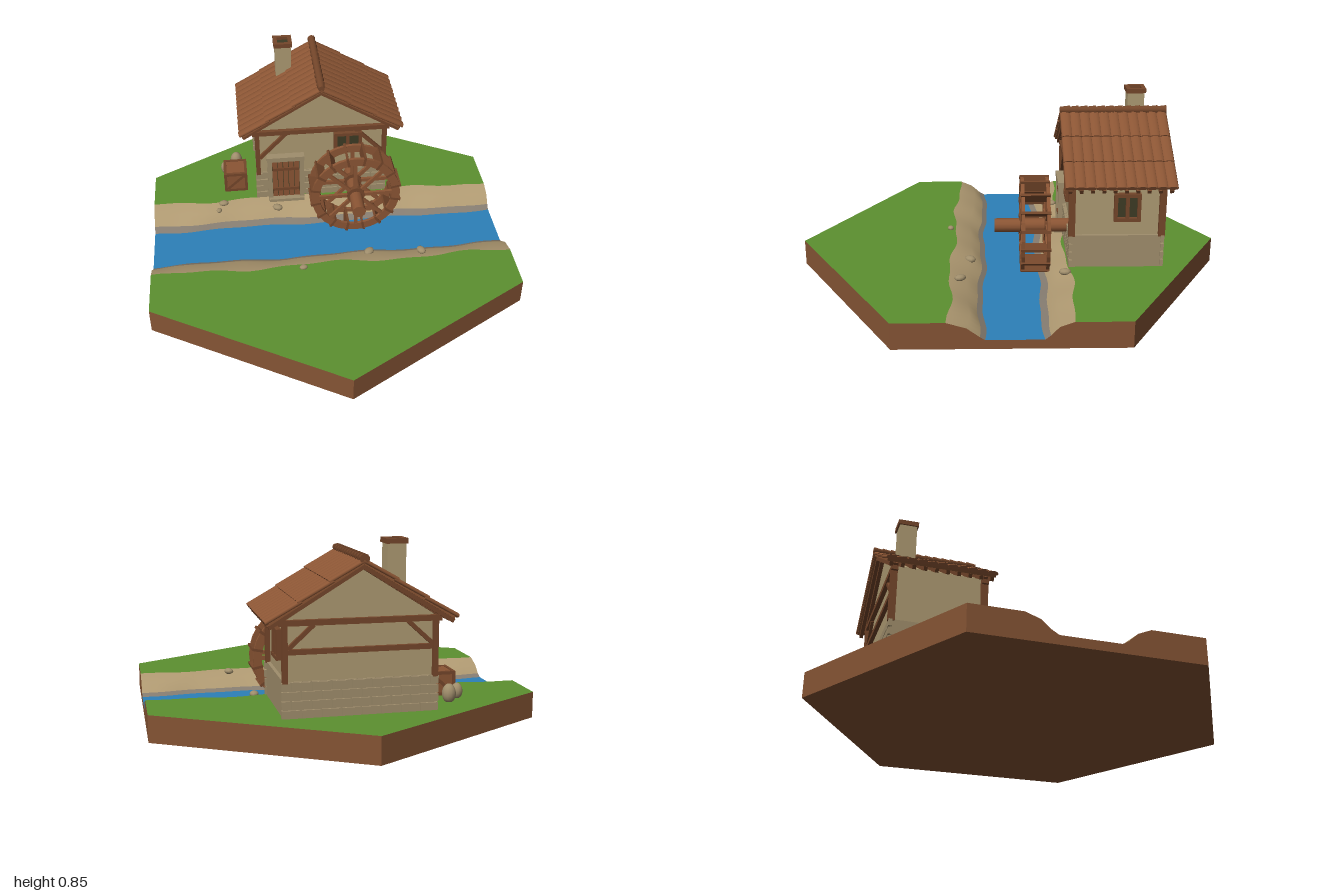
import * as THREE from 'three';

const mat = (name, color, side = THREE.FrontSide) => {
  const m = new THREE.MeshStandardMaterial({ color, side });
  m.name = name;
  return m;
};
const M = {
  grass: mat('grass green', 0x5c9030), water: mat('river blue', 0x2d80b8),
  sand: mat('sand', 0xb09a72), mud: mat('wet gravel', 0x857c70),
  dirt: mat('earth brown', 0x855434), roof: mat('roof tile brown', 0x8b5534),
  wood: mat('timber brown', 0x74462a), plaster: mat('plaster', 0xad9a72),
  stone: mat('stone', 0xa08e6c), dark: mat('dark glass', 0x3d3b24),
};

function add(parent, name, geo, material, x = 0, y = 0, z = 0) {
  const m = new THREE.Mesh(geo, material);
  m.name = name;
  m.position.set(x, y, z);
  parent.add(m);
  return m;
}
function group(parent, name, x = 0, y = 0, z = 0) {
  const g = new THREE.Group();
  g.name = name;
  g.position.set(x, y, z);
  parent.add(g);
  return g;
}
const box = (p, name, m, w, h, d, x, y, z) => add(p, name, new THREE.BoxGeometry(w, h, d), m, x, y, z);

// Beam between two points of a plane of constant z
function beam(p, name, m, x1, y1, x2, y2, z, t = 0.02, d = 0.02) {
  const b = box(p, name, m, Math.hypot(x2 - x1, y2 - y1), t, d, (x1 + x2) / 2, (y1 + y2) / 2, z);
  b.rotation.z = Math.atan2(y2 - y1, x2 - x1);
  return b;
}

function meshFrom(pos, idx) {
  const g = new THREE.BufferGeometry();
  g.setAttribute('position', new THREE.Float32BufferAttribute(pos, 3));
  if (idx) g.setIndex(idx);
  g.computeVertexNormals();
  return g;
}

const HX = Math.sqrt(3) / 2;
const edge = (x) => 1 - Math.abs(x) / HX * 0.5;
const wave = (x, p) => 0.012 * Math.sin(9 * x + p) + 0.006 * Math.sin(21 * x + 2 * p);

// River cross-section from back to front: [z, y, wave phase, wave amount]
const rows = [
  [-0.268, 0.12, 0.5, 1], [-0.205, 0.098, 0.8, 0.8], [-0.162, 0.06, 1.5, 0.6], [-0.132, 0.041, 2, 0.6],
  [0.118, 0.041, 3.6, 0.7], [0.142, 0.055, 3.4, 0.7], [0.19, 0.095, 4, 0.8], [0.268, 0.12, 5, 1],
];
const rowPoint = (r, x) => [x, r[1], r[0] + r[3] * wave(x, r[2])];

function buildIsland(root) {
  const g = group(root, 'island');
  const lines = [(x) => [x, 0.12, -edge(x)], ...rows.map((r) => (x) => rowPoint(r, x)), (x) => [x, 0.12, edge(x)]];
  const strip = (name, m, from, to) => {
    const N = 48, pos = [], idx = [], k = to - from + 1;
    for (let i = 0; i <= N; i++) {
      const x = -HX + 2 * HX * i / N;
      for (let j = from; j <= to; j++) pos.push(...lines[j](x));
      for (let j = 0; i < N && j < k - 1; j++) {
        const a = i * k + j, b = a + 1, c = a + k, d = c + 1;
        idx.push(a, b, d, a, d, c);
      }
    }
    add(g, name, meshFrom(pos, idx), m);
  };
  strip('backGrass', M.grass, 0, 1);
  strip('backBank', M.sand, 1, 3);
  strip('backGravel', M.mud, 3, 4);
  strip('water', M.water, 4, 5);
  strip('frontGravel', M.mud, 5, 6);
  strip('frontBank', M.sand, 6, 8);
  strip('frontGrass', M.grass, 8, 9);

  // Earth sides follow the river section where it leaves the island
  const side = (x) => lines.map((f) => f(x));
  const loop = [[0, 0.12, -1], ...side(HX), [0, 0.12, 1], ...side(-HX).reverse()];
  const pos = [];
  loop.forEach((p, i) => {
    const q = loop[(i + 1) % loop.length], pb = [p[0], 0, p[2]], qb = [q[0], 0, q[2]];
    pos.push(...pb, ...p, ...q, ...pb, ...q, ...qb);
  });
  add(g, 'earthSides', meshFrom(pos), M.dirt);
  add(g, 'earthBottom', new THREE.CircleGeometry(1, 6, Math.PI / 2).rotateX(Math.PI / 2), M.dirt);

  // Loose rocks
  [[-0.51, 0.12, -0.245, 0.022], [-0.535, 0.11, -0.2, 0.016], [-0.235, 0.105, -0.2, 0.024],
    [0.185, 0.1, 0.185, 0.026], [0.435, 0.12, 0.225, 0.024], [-0.145, 0.125, 0.29, 0.018],
    [0.38, 0.12, -0.25, 0.025]].forEach(([x, y, z, r], i) => {
    const rock = add(g, 'rock', new THREE.SphereGeometry(r, 9, 6), M.stone, x, y, z);
    rock.scale.set(1.15, 0.6, 0.85);
    rock.rotation.y = i * 1.3;
  });
}

// Framed window with two panes, facing +z
function buildWindow(parent, name, w, h) {
  const g = group(parent, name), t = 0.016;
  box(g, 'glass', M.dark, w, h, 0.008, 0, 0, 0.004);
  for (const s of [-1, 0, 1]) box(g, 'windowPost', M.wood, t, h + t, 0.024, s * w / 2, 0, 0.012);
  for (const s of [-1, 1]) box(g, 'windowRail', M.wood, w + t, t, 0.028, 0, s * h / 2, 0.012);
  return g;
}

function buildHouse(root) {
  const g = group(root, 'house');
  const zF = -0.285, zB = -0.685;
  // Plaster walls with gables
  const s = new THREE.Shape();
  [[-0.312, 0.12], [0.312, 0.12], [0.312, 0.545], [0, 0.742], [-0.312, 0.545]].forEach(([x, y], i) => (i ? s.lineTo(x, y) : s.moveTo(x, y)));
  add(g, 'walls', new THREE.ExtrudeGeometry(s, { depth: zF - zB, bevelEnabled: false }), M.plaster, 0, 0, zB);
  box(g, 'foundation', M.stone, 0.655, 0.155, 0.415, 0, 0.1975, -0.485);

  // Staggered stone blocks on front and back
  for (const z of [-0.276, -0.694]) {
    for (let r = 0; r < 4; r++) {
      for (let i = -1; i < 8; i++) {
        const x1 = Math.max(-0.34, -0.34 + (i + (r % 2) / 2) * 0.085), x2 = Math.min(0.34, -0.34 + (i + 1 + (r % 2) / 2) * 0.085);
        const mid = (x1 + x2) / 2;
        if (x2 - x1 < 0.02 || (z > -0.5 && mid > -0.275 && mid < -0.085)) continue;
        box(g, 'stoneBlock', M.stone, x2 - x1 - 0.008, 0.033, 0.016, mid, 0.14 + r * 0.039, z);
      }
    }
  }

  // Timber frame of each gable end
  for (const z of [-0.28, -0.69]) {
    box(g, 'tieBeam', M.wood, 0.69, 0.024, 0.03, 0, 0.52, z);
    for (const m of [-1, 1]) {
      box(g, 'cornerPost', M.wood, 0.022, 0.25, 0.03, m * 0.321, 0.395, z);
      beam(g, 'gableBeam', M.wood, m * 0.345, 0.528, 0, 0.745, z, 0.02, 0.026);
      if (z < -0.5) beam(g, 'brace', M.wood, m * 0.31, 0.41, m * 0.2, 0.51, z, 0.018);
      else beam(g, 'brace', M.wood, m * 0.31, 0.37, m * 0.175, 0.51, z, 0.018);
    }
  }
  box(g, 'backRail', M.wood, 0.64, 0.022, 0.026, 0, 0.4, -0.69);

  // Door in a stone frame
  const door = group(g, 'door', -0.183, 0.12, -0.27);
  for (const m of [-1, 1]) box(door, 'doorJamb', M.stone, 0.022, 0.25, 0.035, m * 0.081, 0.125, 0.005);
  box(door, 'doorLintel', M.stone, 0.19, 0.025, 0.04, 0, 0.25, 0.005);
  box(door, 'doorStep', M.stone, 0.18, 0.016, 0.05, 0, 0.004, 0.015);
  box(door, 'doorBack', M.dark, 0.14, 0.235, 0.009, 0, 0.12, 0.002);
  for (let i = 0; i < 5; i++) box(door, 'doorPlank', M.roof, 0.025, 0.225, 0.012, -0.056 + i * 0.028, 0.122, 0.006);
  for (const y of [0.06, 0.185]) box(door, 'doorBar', M.wood, 0.135, 0.016, 0.008, 0, y, 0.014);

  buildWindow(g, 'frontWindow', 0.125, 0.09).position.set(0.135, 0.445, zF);
  const side = buildWindow(g, 'sideWindow', 0.105, 0.115);
  side.position.set(0.312, 0.41, -0.53);
  side.rotation.y = Math.PI / 2;

  // Chimney with an open timber cap
  box(g, 'chimney', M.plaster, 0.08, 0.28, 0.08, -0.16, 0.69, -0.615);
  for (const m of [-1, 1]) {
    box(g, 'chimneyCap', M.wood, 0.094, 0.022, 0.02, -0.16, 0.839, -0.615 + m * 0.037);
    box(g, 'chimneyCap', M.wood, 0.02, 0.022, 0.054, -0.16 + m * 0.037, 0.839, -0.615);
  }
  box(g, 'flue', M.dark, 0.056, 0.004, 0.056, -0.16, 0.833, -0.615);
}

function buildRoof(root) {
  const g = group(root, 'roof', 0, 0.77, -0.49);
  const pitch = Math.atan2(0.245, 0.405), len = 0.473, cols = 11, step = 0.495 / cols;
  for (const m of [0, Math.PI]) {
    const turn = group(g, 'roofSide');
    turn.rotation.y = m;
    const slope = group(turn, 'slope');
    slope.rotation.z = -pitch;
    box(slope, 'roofBoard', M.roof, len - 0.01, 0.012, 0.485, len / 2 - 0.005, -0.008, 0);
    // Overlapping rounded tiles, each row tipped over the next
    for (let c = 0; c < cols; c++) {
      const z = (c - (cols - 1) / 2) * step;
      for (let r = 0; r < 3; r++) {
        const geo = new THREE.CylinderGeometry(0.026, 0.025, 0.17, 10).scale(0.42, 1, 1).rotateZ(Math.PI / 2);
        const tile = add(slope, 'roofTile', geo, M.roof, 0.082 + r * 0.153, 0.001, z);
        tile.rotation.z = 0.035;
      }
    }
    for (let c = 0; c < 10; c++) {
      box(slope, 'rafter', M.wood, len - 0.01, 0.018, 0.016, len / 2 + 0.003, -0.023, (c - 4.5) * 0.05);
    }
  }
  // Ridge of overlapping round caps
  for (let i = 0; i < 12; i++) {
    const cap = new THREE.CylinderGeometry(0.015, 0.021, 0.046, 10).rotateX(Math.PI / 2);
    add(g, 'ridgeCap', cap, M.wood, 0, 0.008, (i - 5.5) * 0.0412);
  }
}

function buildWheel(root) {
  const g = group(root, 'waterWheel', 0.15, 0.265, -0.118);
  const rim = new THREE.Shape().absarc(0, 0, 0.222, 0, Math.PI * 2);
  rim.holes.push(new THREE.Path().absarc(0, 0, 0.183, 0, Math.PI * 2, true));
  const rimGeo = new THREE.ExtrudeGeometry(rim, { depth: 0.016, bevelEnabled: false, curveSegments: 16 });
  for (const z of [-0.058, 0.058]) {
    add(g, 'rim', rimGeo, M.roof, 0, 0, z - 0.008);
    for (let i = 0; i < 4; i++) {
      box(g, 'spoke', M.roof, 0.39, 0.018, 0.014, 0, 0, z).rotation.z = i * Math.PI / 4 + 0.02;
    }
    add(g, 'hub', new THREE.CylinderGeometry(0.045, 0.045, 0.022, 12).rotateX(Math.PI / 2), M.wood, 0, 0, z);
  }
  for (let i = 0; i < 16; i++) {
    const a = (i + 0.5) * Math.PI / 8;
    const p = box(g, 'paddle', M.wood, 0.05, 0.012, 0.136, Math.cos(a) * 0.205, Math.sin(a) * 0.205, 0);
    p.rotation.z = a;
  }
  add(g, 'axle', new THREE.CylinderGeometry(0.033, 0.033, 0.36, 12).rotateX(Math.PI / 2), M.roof, 0, -0.008, 0.008);
}

function buildYard(root) {
  // Crate with framed faces
  const c = group(root, 'crate', -0.44, 0.175, -0.405);
  box(c, 'crateBody', M.roof, 0.108, 0.104, 0.118, 0, 0, 0);
  for (const a of [-1, 1]) {
    for (const b of [-1, 1]) {
      box(c, 'crateEdge', M.wood, 0.014, 0.11, 0.014, a * 0.053, 0, b * 0.058);
      box(c, 'crateEdge', M.wood, 0.12, 0.014, 0.014, 0, a * 0.048, b * 0.058);
      box(c, 'crateEdge', M.wood, 0.014, 0.014, 0.13, a * 0.053, b * 0.048, 0);
    }
    beam(c, 'crateSlat', M.wood, -0.05, -0.045, 0.05, 0.045, a * 0.06, 0.014, 0.008);
  }
  // Sacks beside the wall
  for (const [x, z, r] of [[-0.432, -0.572, 0.031], [-0.49, -0.515, 0.026]]) {
    add(root, 'sack', new THREE.SphereGeometry(r, 12, 9).scale(1, 1.4, 1), M.stone, x, 0.12 + r * 1.2, z);
  }
}

export function createModel() {
  const root = new THREE.Group();
  root.name = 'watermill';
  buildIsland(root);
  buildHouse(root);
  buildRoof(root);
  buildWheel(root);
  buildYard(root);
  return root;
}
